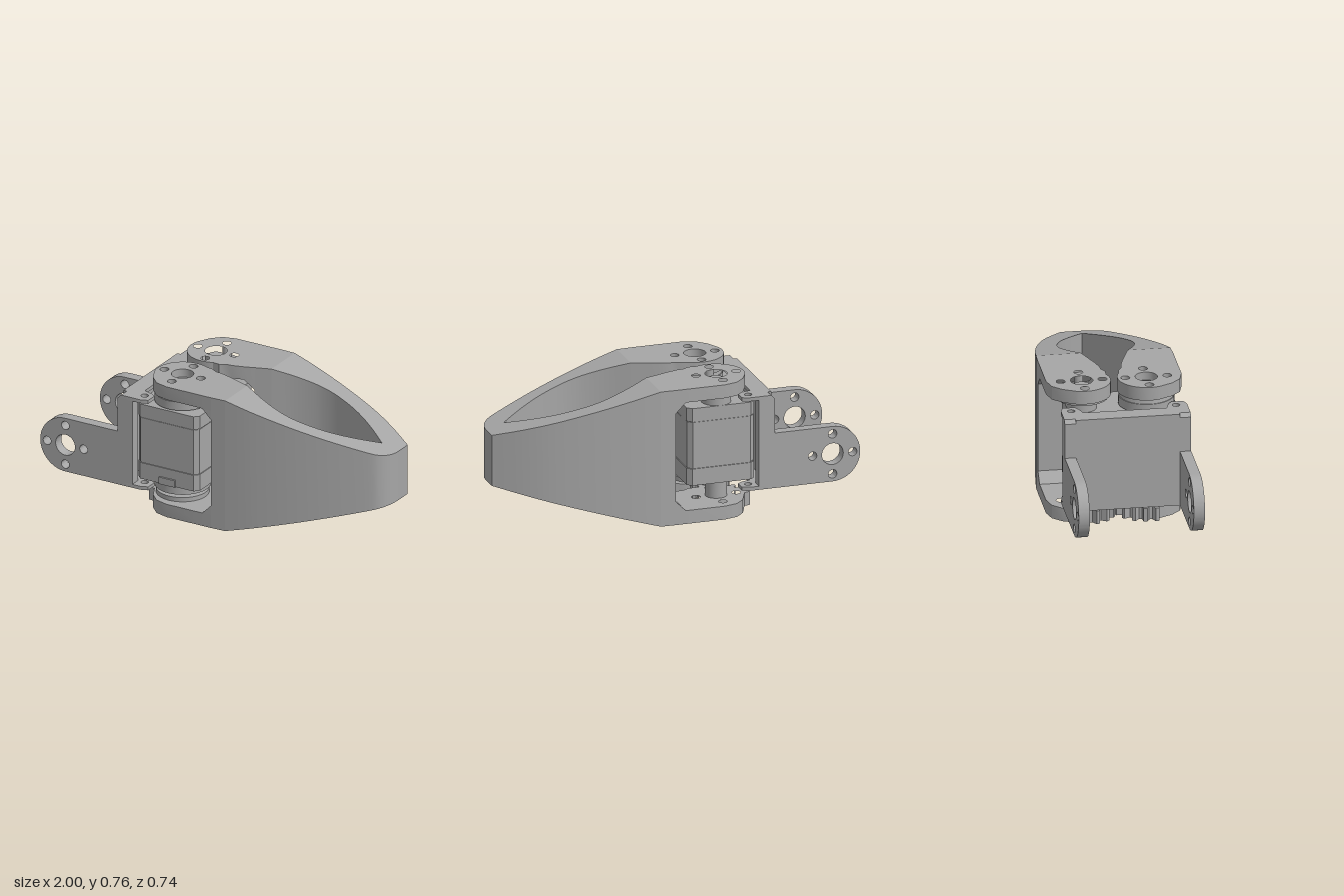
import * as THREE from 'three';
import { toCreasedNormals } from 'three/addons/utils/BufferGeometryUtils.js';

const grey = new THREE.MeshStandardMaterial({ color: 0xa6a6a6 });
grey.name = 'plain grey';
const V = (x, y) => new THREE.Vector2(x, y);
const PX = -0.235; // x of both jaw pivots

function add(parent, name, geo, crease = 0.5) {
  const mesh = new THREE.Mesh(toCreasedNormals(geo, crease), grey);
  mesh.name = name;
  parent.add(mesh);
  return mesh;
}

function box(parent, name, x0, x1, y0, y1, z0, z1) {
  const g = new THREE.BoxGeometry(x1 - x0, y1 - y0, z1 - z0);
  g.translate((x0 + x1) / 2, (y0 + y1) / 2, (z0 + z1) / 2);
  add(parent, name, g);
}

function disc(parent, name, z, y0, y1, r0, r1 = r0) {
  const g = new THREE.CylinderGeometry(r1, r0, y1 - y0, 40);
  g.translate(PX, (y0 + y1) / 2, z);
  add(parent, name, g);
}

// Centre hole with four small holes around it
function hubHoles(shape, cx, cy) {
  const hole = (x, y, r) => {
    const p = new THREE.Path();
    p.absarc(x, y, r, 0, Math.PI * 2, true);
    shape.holes.push(p);
  };
  hole(cx, cy, 0.06);
  for (let i = 0; i < 4; i++) {
    const a = (i * Math.PI) / 2;
    hole(cx + 0.113 * Math.cos(a), cy + 0.113 * Math.sin(a), 0.024);
  }
}

// Plan shape (x, z) raised from y0 to y1; the optional rule reshapes y by x
function slab(parent, name, shape, y0, y1, rule) {
  const g = new THREE.ExtrudeGeometry(shape, { depth: y1 - y0, bevelEnabled: false, curveSegments: 12 });
  g.rotateX(Math.PI / 2);
  g.translate(0, y1, 0);
  if (rule) {
    const p = g.attributes.position;
    for (let i = 0; i < p.count; i++) p.setY(i, rule(p.getX(i), p.getY(i)));
    g.computeVertexNormals();
  }
  add(parent, name, g);
}

// One jaw; s is the side in z, distances are measured outward from z = 0
function makeJaw(parent, name, s, zc, edge, outerPts, tipPts, toothShift) {
  const jaw = new THREE.Group();
  jaw.name = name;
  parent.add(jaw);
  const plan = pts => new THREE.Shape(pts.map(p => V(p.x, p.y * s)));
  const outer = new THREE.SplineCurve(outerPts.map(p => V(...p))).getPoints(30);
  const inner = new THREE.SplineCurve([[0.9, 0], [0.78, 0.085], [0.65, 0.155], [0.52, 0.195],
    [0.43, 0.204], [0.35, 0.195], [0.25, 0.168], [0.14, 0.125]].map(p => V(...p))).getPoints(30);

  // Tapering finger
  const taper = (x, y) => {
    const t = (x - 0.14) / 0.86;
    return y > 0.38 ? 0.76 - 0.235 * t : 0.24 * t;
  };
  slab(jaw, 'finger', plan([...outer, ...tipPts.map(p => V(...p)), ...inner]), 0, 0.76, taper);

  // Upright root of the finger and the sloped corners below and above the arms
  const zo = outerPts[0][1];
  slab(jaw, 'fingerRoot', plan([V(0.055, edge), V(0.14, zo), V(0.14, 0.125), V(0.055, 0.095)]), 0, 0.76);
  const wedge = plan([V(0, edge), V(0.055, edge), V(0.055, 0.095), V(0, 0.075)]);
  slab(jaw, 'upperCorner', wedge, 0.63, 0.685, (x, y) => (y > 0.66 ? 0.685 : 0.685 - x));
  slab(jaw, 'lowerCorner', wedge, 0.075, 0.13, (x, y) => (y < 0.1 ? 0.075 : 0.075 + x));

  // Pivot arms: plain above, toothed below
  const polar = (r, deg) => {
    const a = (deg * Math.PI) / 180;
    return V(PX + r * Math.cos(a), zc + r * Math.sin(a));
  };
  const start = [V(0.055, edge), V(-0.22, edge), V(-0.295, edge - 0.02), V(-0.345, edge - 0.07)];
  const end = [V(-0.13, 0.035), V(-0.095, 0.055), V(-0.06, 0.058), V(0, 0.075), V(0.055, 0.095)];
  const round = [];
  for (let d = 160; d <= 295; d += 5) round.push(polar(0.155, d));
  const teeth = [];
  for (let d = 170 + toothShift; d <= 295; d += 20)
    teeth.push(polar(0.155, d - 7), polar(0.187, d - 3), polar(0.187, d + 3), polar(0.155, d + 7));
  const arm = (label, middle, y0, y1) => {
    const shape = plan([...start, ...middle, ...end]);
    hubHoles(shape, PX, zc * s);
    slab(jaw, label, shape, y0, y1);
  };
  arm('upperArm', round, 0.685, 0.76);
  arm('gearArm', teeth, 0, 0.075);
}

function makeBracket(parent) {
  const g = new THREE.Group();
  g.name = 'bracket';
  parent.add(g);
  // Two side plates with rounded, drilled ends
  const side = new THREE.Shape();
  side.moveTo(-0.43, 0.125);
  side.lineTo(-0.43, 0.65);
  side.lineTo(-0.5, 0.65);
  side.lineTo(-0.52, 0.63);
  side.lineTo(-0.52, 0.435);
  side.lineTo(-0.845, 0.435);
  side.absarc(-0.845, 0.28, 0.155, Math.PI / 2, Math.PI * 1.5, false);
  hubHoles(side, -0.845, 0.28);
  for (const z of [0.305, -0.315]) {
    const geo = new THREE.ExtrudeGeometry(side, { depth: 0.06, bevelEnabled: false, curveSegments: 24 });
    geo.translate(0, 0, z);
    add(g, 'sidePlate', geo);
  }
  box(g, 'crossWall', -0.52, -0.495, 0.125, 0.65, -0.255, 0.305);

  // Flanges with a screw tab at each end
  const flange = new THREE.Shape([[-0.5, -0.315], [-0.38, -0.315], [-0.34, -0.3], [-0.34, -0.235],
    [-0.37, -0.215], [-0.42, -0.2], [-0.42, 0.25], [-0.37, 0.265], [-0.34, 0.285], [-0.34, 0.35],
    [-0.38, 0.365], [-0.5, 0.365]].map(p => V(...p)));
  for (const z of [-0.26, 0.305]) {
    const p = new THREE.Path();
    p.absarc(-0.388, z, 0.02, 0, Math.PI * 2, true);
    flange.holes.push(p);
  }
  slab(g, 'topFlange', flange, 0.63, 0.65);
  slab(g, 'bottomFlange', flange, 0.125, 0.145);
}

function makeMotor(parent) {
  const g = new THREE.Group();
  g.name = 'motor';
  parent.add(g);
  // Case in three layers, with thin seams between them
  const layer = (name, y0, y1, d) => {
    const [x0, x1, z0, z1, c] = [-0.43 + d, -0.05 - d, -0.26 + d, 0.325 - d, 0.025];
    slab(g, name, new THREE.Shape([V(x0 + c, z0), V(x1 - c, z0), V(x1, z0 + c), V(x1, z1 - c),
      V(x1 - c, z1), V(x0 + c, z1), V(x0, z1 - c), V(x0, z0 + c)]), y0, y1);
  };
  layer('lowerCase', 0.17, 0.264, 0);
  layer('lowerSeam', 0.264, 0.268, 0.005);
  layer('middleCase', 0.268, 0.526, 0.002);
  layer('upperSeam', 0.526, 0.53, 0.005);
  layer('upperCase', 0.53, 0.605, 0);
  box(g, 'cableSocket', -0.285, -0.185, 0.17, 0.21, 0.3, 0.335);

  // Driven hub, front side
  const zf = 0.168;
  disc(g, 'hornBase', zf, 0.605, 0.611, 0.13);
  disc(g, 'horn', zf, 0.611, 0.66, 0.15);
  disc(g, 'hornTop', zf, 0.66, 0.685, 0.145, 0.14);
  disc(g, 'hornScrew', zf, 0.685, 0.72, 0.048);
  box(g, 'screwCross', PX - 0.03, PX + 0.03, 0.72, 0.723, zf - 0.006, zf + 0.006);
  box(g, 'screwCross', PX - 0.006, PX + 0.006, 0.72, 0.723, zf - 0.03, zf + 0.03);
  disc(g, 'lowerHorn', zf, 0.12, 0.17, 0.15);
  disc(g, 'lowerShaft', zf, 0.1, 0.12, 0.055);
  disc(g, 'lowerWasher', zf, 0.075, 0.1, 0.142);

  // Idle hub, back side
  disc(g, 'idlePost', -0.18, 0.605, 0.67, 0.08);
  disc(g, 'idleWasher', -0.18, 0.67, 0.685, 0.142);
  disc(g, 'idlePin', -0.18, 0.685, 0.735, 0.042);
  disc(g, 'lowerIdlePost', -0.18, 0.06, 0.17, 0.058);
}

export function createModel() {
  const model = new THREE.Group();
  model.name = 'gripper';
  makeJaw(model, 'frontJaw', 1, 0.168, 0.36,
    [[0.14, 0.356], [0.3, 0.336], [0.5, 0.293], [0.7, 0.232], [0.9, 0.152], [0.96, 0.112], [0.99, 0.06], [1, 0.01]],
    [[1, 0]], 0);
  makeJaw(model, 'backJaw', -1, 0.18, 0.37,
    [[0.14, 0.368], [0.3, 0.348], [0.5, 0.308], [0.7, 0.25], [0.85, 0.185], [1, 0.1]],
    [[1, 0]], 10);
  makeBracket(model);
  makeMotor(model);
  return model;
}
